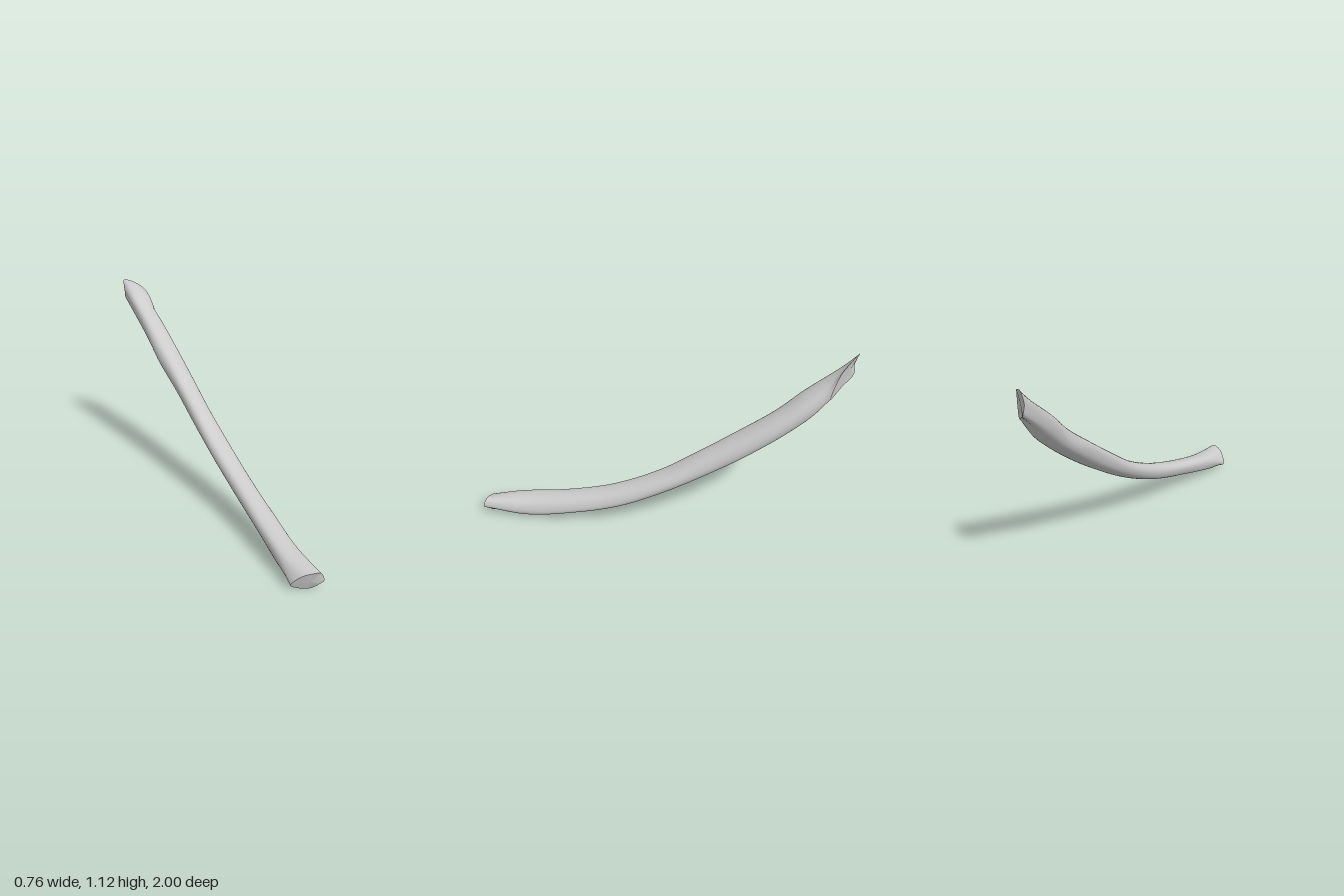
import * as THREE from 'three';

const V = (x, y, z) => new THREE.Vector3(x, y, z);
const AROUND = 32, ALONG = 48;

// Oblique cut ends, eight corners each: left, upper left, top, upper right, right, lower right, bottom, lower left
const lowEnd = [
  [-0.38, 0.03, 0.87], [-0.355, 0.09, 0.92], [-0.31, 0.11, 0.97], [-0.287, 0.106, 0.985],
  [-0.28, 0.07, 1.0], [-0.295, 0.045, 0.98], [-0.31, 0.005, 0.93], [-0.35, 0.01, 0.89],
].map(p => V(...p));
const highEnd = [
  [0.28, 1.05, -0.985], [0.283, 1.09, -0.995], [0.29, 1.12, -1.0], [0.33, 1.105, -0.94],
  [0.36, 1.055, -0.87], [0.375, 0.92, -0.82], [0.33, 0.955, -0.9], [0.29, 1.0, -0.985],
].map(p => V(...p));

// Shaft sections: z, left x, right x, bottom y, top y, y of left edge, y of right edge, depth of underside groove
const sections = [
  [0.76, -0.325, -0.165, 0.02, 0.133, 0.08, 0.06, 0.02],
  [0.5, -0.195, -0.04, 0.08, 0.185, 0.145, 0.115, 0.012],
  [0.25, -0.08, 0.065, 0.155, 0.265, 0.215, 0.2, 0.005],
  [0, 0.01, 0.155, 0.275, 0.385, 0.33, 0.335, 0],
  [-0.2, 0.075, 0.215, 0.39, 0.52, 0.46, 0.45, 0.006],
  [-0.4, 0.135, 0.28, 0.52, 0.66, 0.605, 0.59, 0.008],
  [-0.6, 0.185, 0.335, 0.665, 0.81, 0.72, 0.745, 0.006],
  [-0.74, 0.22, 0.36, 0.78, 0.93, 0.865, 0.86, 0.004],
];

// Eight control points of a rounded section
function controlRing([z, xl, xr, yb, yt, yl, yr, groove]) {
  const k = 0.74, xm = (xl + xr) / 2, w = (xr - xl) / 2;
  const mix = THREE.MathUtils.lerp;
  return [
    V(xl, yl, z), V(xm - k * w, mix(yl, yt, k), z), V(xm, yt, z), V(xm + k * w, mix(yr, yt, k), z),
    V(xr, yr, z), V(xm + k * w, mix(yr, yb, k), z), V(xm, yb + groove, z), V(xm - k * w, mix(yl, yb, k), z),
  ];
}

// Smooth lengthwise curves, then a closed curve around each station
function makeRings() {
  const controls = [lowEnd, ...sections.map(controlRing), highEnd];
  const rails = lowEnd.map((_, j) => new THREE.CatmullRomCurve3(controls.map(r => r[j])));
  return Array.from({ length: ALONG + 1 }, (_, i) => {
    const ring = new THREE.CatmullRomCurve3(rails.map(r => r.getPoint(i / ALONG)), true);
    return Array.from({ length: AROUND }, (_, j) => ring.getPoint(j / AROUND));
  });
}

function geometryFrom(points, index) {
  const g = new THREE.BufferGeometry().setFromPoints(points);
  g.setIndex(index);
  g.computeVertexNormals();
  return g;
}

function shaftGeometry(rings) {
  const index = [];
  for (let i = 0; i < ALONG; i++) {
    for (let j = 0; j < AROUND; j++) {
      const a = i * AROUND + j, b = i * AROUND + (j + 1) % AROUND;
      const c = a + AROUND, d = b + AROUND;
      index.push(a, b, c, b, d, c);
    }
  }
  return geometryFrom(rings.flat(), index);
}

function capGeometry(ring, facesFront) {
  const centre = ring.reduce((s, p) => s.add(p), V(0, 0, 0)).divideScalar(ring.length);
  const index = [];
  for (let j = 0; j < AROUND; j++) {
    const k = (j + 1) % AROUND;
    if (facesFront) index.push(AROUND, k, j);
    else index.push(AROUND, j, k);
  }
  return geometryFrom([...ring, centre], index);
}

export function createModel() {
  const group = new THREE.Group();
  group.name = 'curvedStrip';
  const material = new THREE.MeshStandardMaterial({ color: 0xcccccc });
  const add = (name, geometry) => {
    const mesh = new THREE.Mesh(geometry, material);
    mesh.name = name;
    group.add(mesh);
  };
  const rings = makeRings();
  add('shaft', shaftGeometry(rings));
  add('lowEndFace', capGeometry(rings[0], true));
  add('highEndFace', capGeometry(rings[ALONG], false));
  return group;
}
